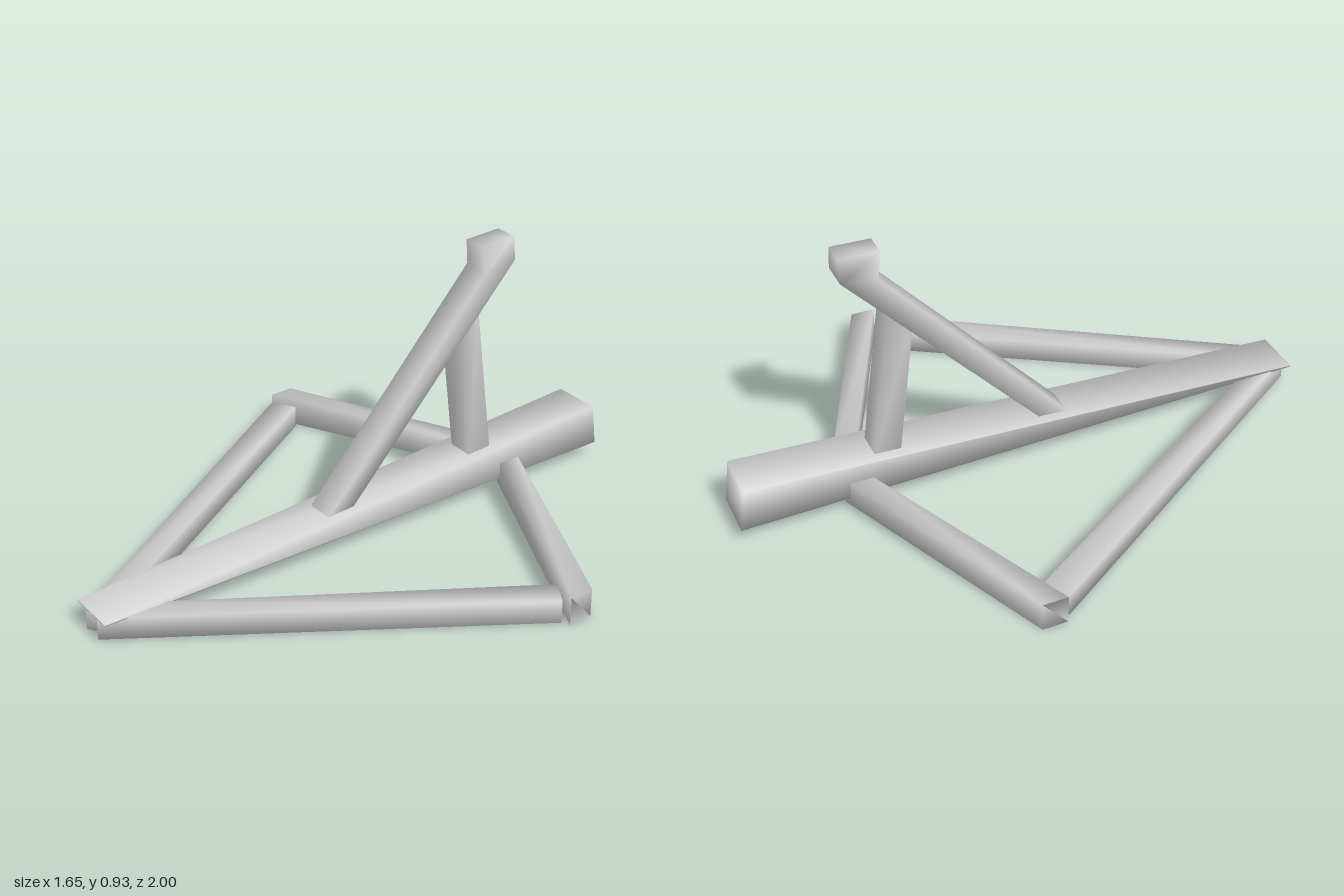
import * as THREE from 'three';

// Closed smooth-shaded bar through four-cornered sections (corners run anticlockwise about the travel direction)
function loft(name, sections, material) {
  const index = [];
  const n = sections.length;
  for (let i = 0; i < n - 1; i++) {
    for (let j = 0; j < 4; j++) {
      const a = i * 4 + j, b = i * 4 + (j + 1) % 4;
      index.push(a, b, b + 4, a, b + 4, a + 4);
    }
  }
  const e = (n - 1) * 4;
  index.push(0, 2, 1, 0, 3, 2, e, e + 1, e + 2, e, e + 2, e + 3);
  const geometry = new THREE.BufferGeometry();
  geometry.setAttribute('position', new THREE.Float32BufferAttribute(sections.flat(2), 3));
  geometry.setIndex(index);
  geometry.computeVertexNormals();
  const mesh = new THREE.Mesh(geometry, material);
  mesh.name = name;
  return mesh;
}

// Section of a centre-line part: lower/back edge and upper/front edge as [z, y], half width w
const centre = ([z1, y1], [z2, y2], w) =>
  [[w, y1, z1], [-w, y1, z1], [-w, y2, z2], [w, y2, z2]];

// Upright section of a ground rail: two plan points [x, z], bottom and top; side mirrors it
function upright(p, q, y0, y1, side) {
  const [a, b] = side > 0 ? [p, q] : [q, p];
  return [[a, y0], [b, y0], [b, y1], [a, y1]].map(([[x, z], y]) => [x * side, y, z]);
}

export function createModel() {
  const model = new THREE.Group();
  model.name = 'frame';
  const grey = new THREE.MeshStandardMaterial({ color: 0xcccccc });
  grey.name = 'light grey';

  // Wedge-shaped main beam
  model.add(loft('mainBeam', [
    centre([1, 0.08], [1, 0.086], 0.085),
    centre([-1, 0.05], [-0.98, 0.2], 0.085),
  ], grey));

  // Leaning mast with a bent head
  model.add(loft('mast', [
    centre([0.056, 0.13], [0.153, 0.13], 0.048),
    centre([-0.61, 0.853], [-0.49, 0.837], 0.05),
    centre([-0.61, 0.933], [-0.475, 0.928], 0.04),
  ], grey));

  // Strut propping the mast
  model.add(loft('strut', [
    centre([-0.538, 0.14], [-0.446, 0.14], 0.046),
    centre([-0.46, 0.735], [-0.378, 0.69], 0.046),
  ], grey));

  // Ground rails, one pair on each side
  for (const side of [1, -1]) {
    const label = side > 0 ? 'left' : 'right';
    model.add(loft(label + 'FrontRail', [
      upright([0.72, -0.25], [0.8, -0.2], 0.002, 0.082, side),
      upright([-0.03, 0.96], [0.035, 1], 0.005, 0.083, side),
    ], grey));
    model.add(loft(label + 'BackRail', [
      upright([0.823, -0.3], [0.823, -0.215], 0, 0.1, side),
      upright([0.06, -0.645], [0.06, -0.565], 0.025, 0.115, side),
    ], grey));
  }
  return model;
}
